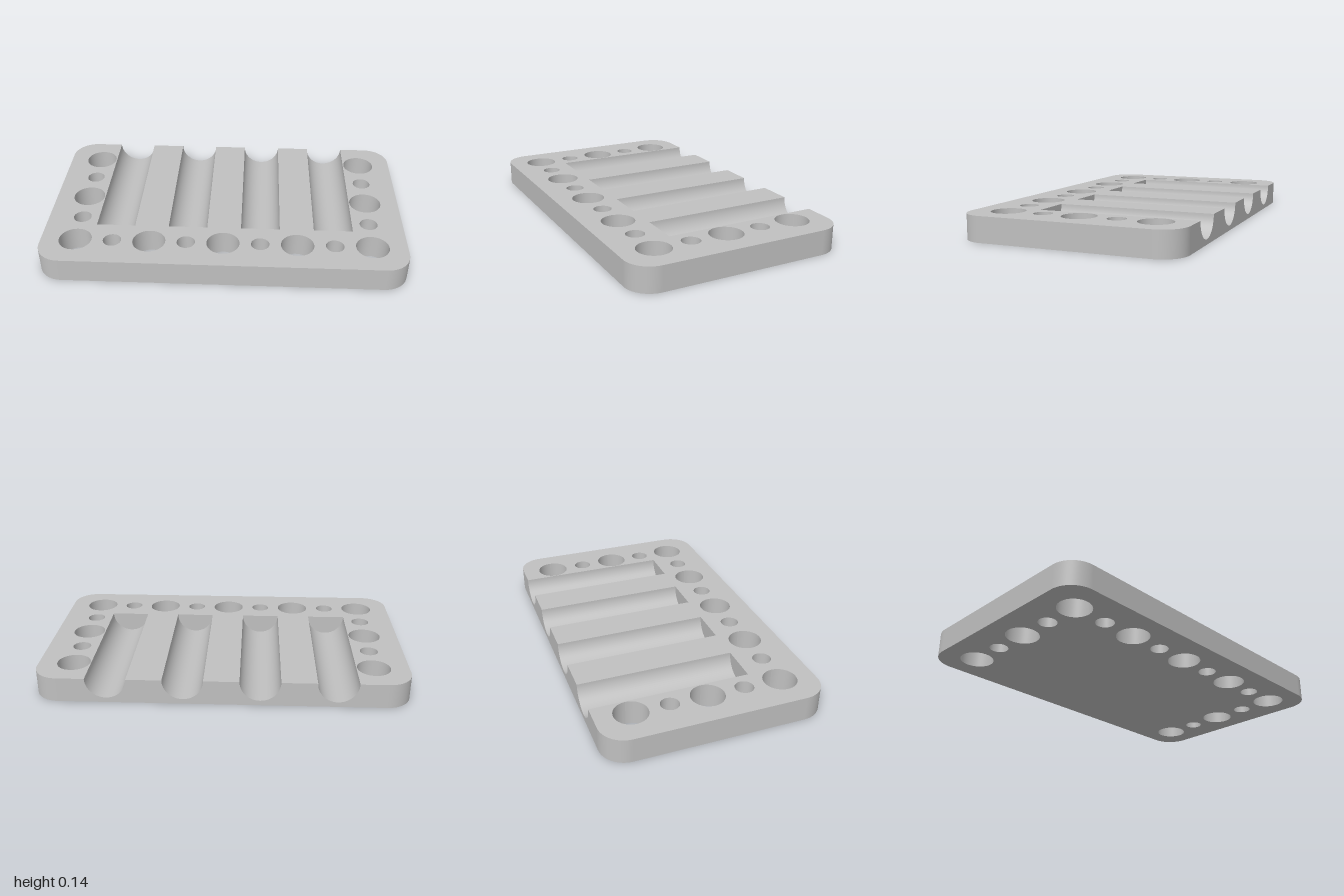
import * as THREE from 'three';

const HALF_DEPTH = 0.592, HEIGHT = 0.135, CORNER = 0.135;
const PITCH = 0.405, BIG_HOLE = 0.09, SMALL_HOLE = 0.05;
const GROOVE = 0.108, GROOVE_END = 0.27;
const FLAT = 1 - CORNER; // end of the straight part of the back edge

const grey = new THREE.MeshStandardMaterial({ color: 0xc0c0c0 });
grey.name = 'plain grey';

// points on an arc, from angle a to angle b
function arc(cx, cy, r, a, b, n = 32) {
  return Array.from({ length: n + 1 }, (_, i) => {
    const t = a + ((b - a) * i) / n;
    return new THREE.Vector2(cx + r * Math.cos(t), cy + r * Math.sin(t));
  });
}

// smooth surface spanned between two lines of 3D points
function strip(from, to) {
  const n = from.length, index = [];
  for (let i = 0; i < n - 1; i++) index.push(i, i + 1, n + i + 1, i, n + i + 1, n + i);
  const g = new THREE.BufferGeometry().setFromPoints([...from, ...to]);
  g.setIndex(index);
  g.computeVertexNormals();
  return g;
}

// upright wall over a plan line, whose second coordinate is -z
function wall(plan) {
  const at = (y) => plan.map((p) => new THREE.Vector3(p.x, y, -p.y));
  return strip(at(0), at(HEIGHT));
}

export function createModel() {
  const model = new THREE.Group();
  model.name = 'drilledGrooveBlock';
  const add = (name, geometry) => {
    const mesh = new THREE.Mesh(geometry, grey);
    mesh.name = name;
    model.add(mesh);
    return mesh;
  };

  // U-shaped row of holes, alternating large and small
  const holes = [];
  for (let i = -4; i <= 4; i++) {
    holes.push({ x: (i * PITCH) / 2, z: PITCH, r: i % 2 ? SMALL_HOLE : BIG_HOLE });
  }
  for (const side of [-1, 1]) {
    for (let i = -2; i <= 1; i++) {
      holes.push({ x: side * 2 * PITCH, z: (i * PITCH) / 2, r: i % 2 ? SMALL_HOLE : BIG_HOLE });
    }
  }
  const grooves = [-1.5, -0.5, 0.5, 1.5].map((k) => k * PITCH);

  // rounded rim, from the back left corner round the front to the back right
  const q = Math.PI / 2, d = HALF_DEPTH - CORNER;
  const rim = [
    ...arc(-FLAT, d, CORNER, q, 2 * q, 16),
    ...arc(-FLAT, -d, CORNER, 2 * q, 3 * q, 16),
    ...arc(FLAT, -d, CORNER, 3 * q, 4 * q, 16),
    ...arc(FLAT, d, CORNER, 0, q, 16),
  ];
  add('rim', wall(rim));

  // flat face with all holes cut out
  const face = (outline) => {
    const shape = new THREE.Shape(outline);
    for (const h of holes) {
      shape.holes.push(new THREE.Path(arc(h.x, -h.z, h.r, 0, -2 * Math.PI, 48).slice(0, -1)));
    }
    return new THREE.ShapeGeometry(shape).rotateX(-Math.PI / 2);
  };

  // underside, turned to face down
  const underside = face(rim);
  underside.index.array.reverse();
  underside.computeVertexNormals();
  add('underside', underside);

  // top, notched from the back by the grooves
  const notches = [...grooves].reverse().flatMap((x) => [
    new THREE.Vector2(x + GROOVE, HALF_DEPTH),
    new THREE.Vector2(x + GROOVE, -GROOVE_END),
    new THREE.Vector2(x - GROOVE, -GROOVE_END),
    new THREE.Vector2(x - GROOVE, HALF_DEPTH),
  ]);
  add('top', face([...rim, ...notches])).position.y = HEIGHT;

  // hole walls
  for (const h of holes) {
    add(h.r === BIG_HOLE ? 'largeHole' : 'smallHole', wall(arc(h.x, -h.z, h.r, 0, -2 * Math.PI, 48)));
  }

  // back wall with half-round openings
  const back = [new THREE.Vector2(-FLAT, 0), new THREE.Vector2(FLAT, 0), new THREE.Vector2(FLAT, HEIGHT)];
  for (const x of [...grooves].reverse()) back.push(...arc(x, HEIGHT, GROOVE, 0, -Math.PI));
  back.push(new THREE.Vector2(-FLAT, HEIGHT));
  const backGeometry = new THREE.ShapeGeometry(new THREE.Shape(back)).rotateY(Math.PI);
  add('backWall', backGeometry).position.z = -HALF_DEPTH;

  // half-round grooves with flat closed ends
  for (const x of grooves) {
    const profile = arc(x, HEIGHT, GROOVE, Math.PI, 2 * Math.PI);
    const at = (z) => profile.map((p) => new THREE.Vector3(p.x, p.y, z));
    add('groove', strip(at(GROOVE_END), at(-HALF_DEPTH)));
    const end = new THREE.Shape(arc(0, HEIGHT, GROOVE, Math.PI, 2 * Math.PI));
    add('grooveEnd', new THREE.ShapeGeometry(end).rotateY(Math.PI)).position.set(x, 0, GROOVE_END);
  }
  return model;
}
